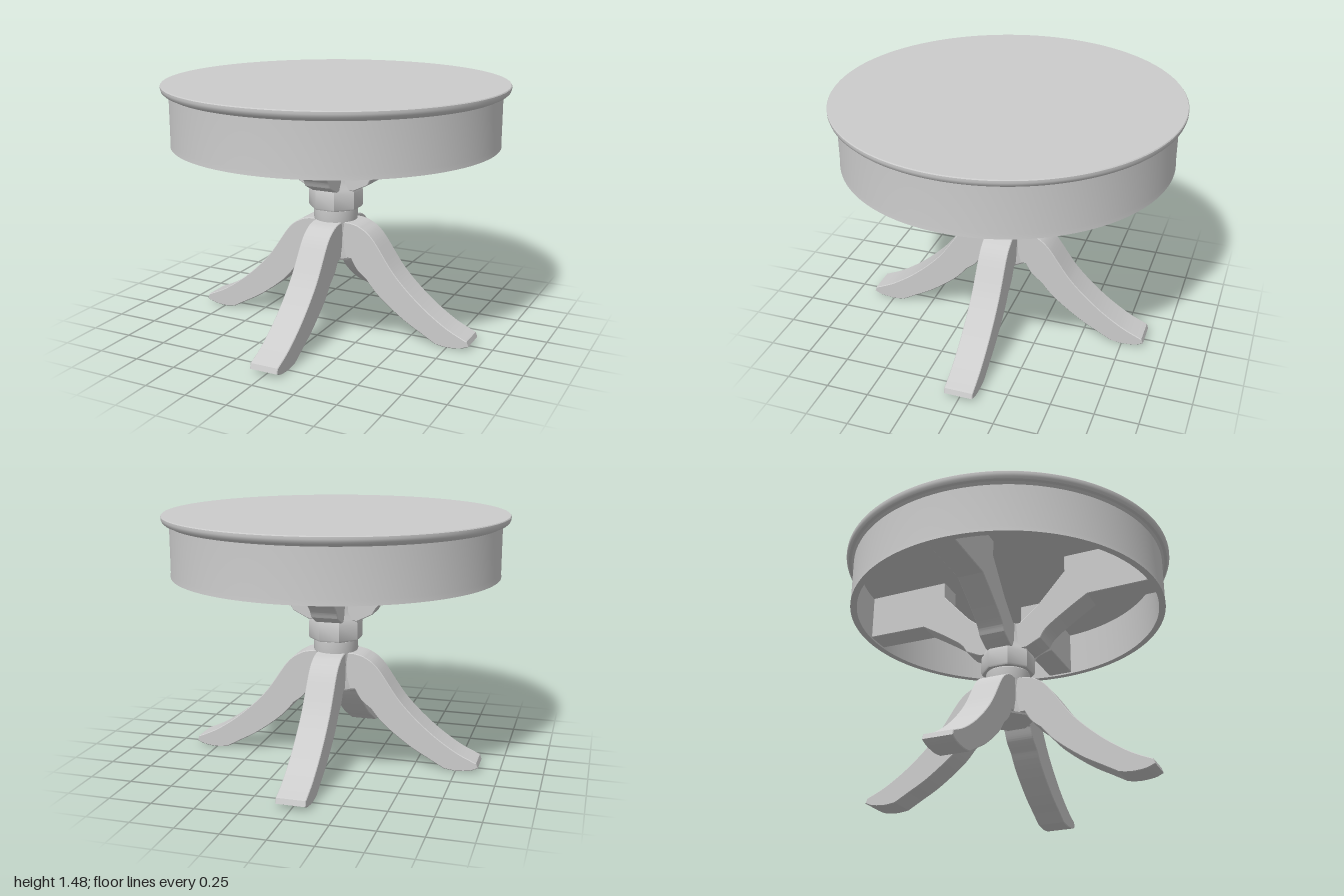
import * as THREE from 'three';
import { toCreasedNormals } from 'three/addons/utils/BufferGeometryUtils.js';

const material = new THREE.MeshStandardMaterial({ color: 0xcccccc });
const vectors = (points) => points.map(([x, y]) => new THREE.Vector2(x, y));

function addMesh(parent, name, geometry) {
  const mesh = new THREE.Mesh(toCreasedNormals(geometry, 0.5), material);
  mesh.name = name;
  parent.add(mesh);
  return mesh;
}

// Profile of radius and height, listed so that the surface faces outwards
function lathe(points, segments) {
  return new THREE.LatheGeometry(vectors(points), segments);
}

// Board cut to a side profile, centred on z, with slightly eased edges
function board(shape, width) {
  const bevel = 0.004;
  const geometry = new THREE.ExtrudeGeometry(shape, {
    depth: width - 2 * bevel, curveSegments: 24, bevelEnabled: true,
    bevelSize: bevel, bevelThickness: bevel, bevelOffset: -bevel, bevelSegments: 1,
  });
  return geometry.translate(0, 0, bevel - width / 2);
}

function legShape() {
  const s = new THREE.Shape();
  s.moveTo(0.05, 0.67);
  s.lineTo(0.135, 0.668);
  s.splineThru(vectors([[0.2, 0.648], [0.28, 0.585], [0.42, 0.39], [0.58, 0.235], [0.74, 0.122], [0.87, 0.06]]));
  s.lineTo(0.88, 0.03);
  s.splineThru(vectors([[0.83, 0.01], [0.75, 0.002], [0.68, 0.01]]));
  s.splineThru(vectors([[0.6, 0.055], [0.47, 0.13], [0.32, 0.245], [0.24, 0.335]]));
  s.splineThru(vectors([[0.18, 0.385], [0.14, 0.45]]));
  s.lineTo(0.05, 0.45);
  return s;
}

// Arm rises from the pedestal, then runs level under the top to the apron
function armShape() {
  const s = new THREE.Shape();
  s.moveTo(0.05, 0.86);
  s.lineTo(0.15, 0.86);
  s.lineTo(0.24, 0.905);
  s.splineThru(vectors([[0.265, 0.945], [0.31, 0.985], [0.42, 1.06], [0.54, 1.135]]));
  s.lineTo(0.915, 1.14);
  s.lineTo(0.915, 1.425);
  s.lineTo(0.4, 1.425);
  s.lineTo(0.4, 1.32);
  s.lineTo(0.23, 1.13);
  s.lineTo(0.11, 1.03);
  s.lineTo(0.05, 1.03);
  return s;
}

export function createModel() {
  const table = new THREE.Group();
  table.name = 'pedestalTable';

  // Round top with a moulded lip and a hollow apron
  addMesh(table, 'topAndApron', lathe([
    [0, 1.42], [0.917, 1.42], [0.917, 1.13], [0.956, 1.13], [0.954, 1.16],
    [0.954, 1.425], [0.968, 1.437], [0.985, 1.44],
    [0.995, 1.45], [1, 1.465], [1, 1.478], [0.996, 1.483], [0, 1.483],
  ], 128));

  // Pedestal: octagonal blocks joined by a round collar
  const pedestal = new THREE.Group();
  pedestal.name = 'pedestal';
  table.add(pedestal);
  const corner = 1 / Math.cos(Math.PI / 8);
  const octagon = (points) => lathe(points.map(([r, y]) => [r * corner, y]), 8).rotateY(Math.PI / 8);
  addMesh(pedestal, 'upperBlock', octagon([
    [0, 0.74], [0.143, 0.74], [0.148, 0.75], [0.148, 0.84], [0.14, 0.87], [0.125, 0.91], [0.118, 1.03], [0, 1.03],
  ]));
  addMesh(pedestal, 'collar', lathe([
    [0, 0.65], [0.125, 0.65], [0.13, 0.67], [0.13, 0.735], [0.122, 0.745], [0, 0.745],
  ], 48));
  addMesh(pedestal, 'lowerBlock', octagon([
    [0, 0.44], [0.134, 0.44], [0.138, 0.45], [0.134, 0.48], [0.125, 0.52], [0.122, 0.6], [0.128, 0.66], [0, 0.66],
  ]));

  // Four curved legs and four support arms around the pedestal
  const legGeometry = board(legShape(), 0.17);
  const armGeometry = board(armShape(), 0.16);
  ['left', 'back', 'right', 'front'].forEach((side, i) => {
    addMesh(table, side + 'Leg', legGeometry).rotation.y = i * Math.PI / 2;
    addMesh(table, side + 'Arm', armGeometry).rotation.y = i * Math.PI / 2;
  });
  return table;
}
